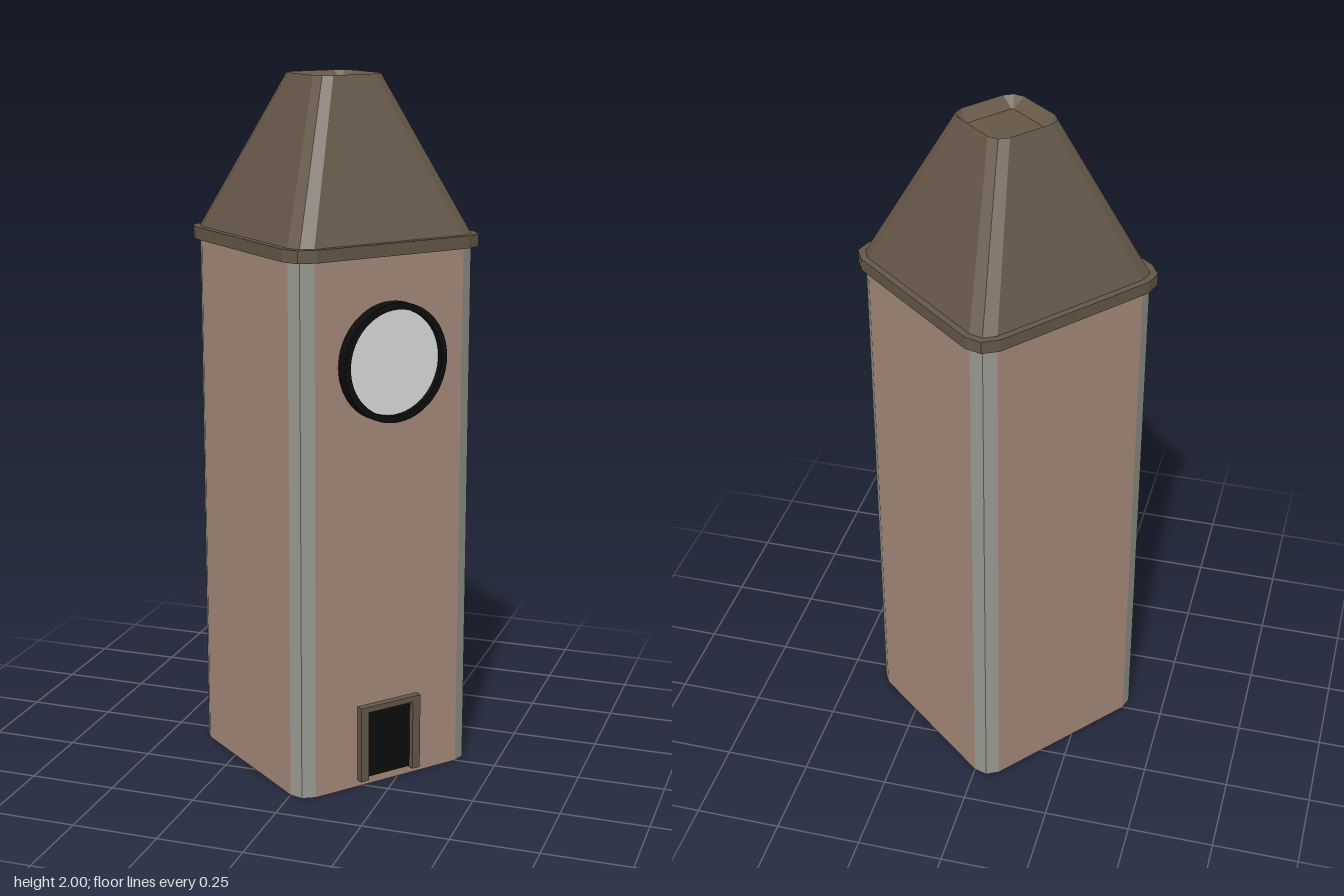
import * as THREE from 'three';

const mat = (name, color) => {
  const m = new THREE.MeshStandardMaterial({ color });
  m.name = name;
  return m;
};

// Square ring with corners rounded in two facets: half width h, corner radius r, height y
function ring(h, r, y) {
  const pts = [];
  for (let k = 0; k < 4; k++) {
    const mid = Math.PI / 4 + k * Math.PI / 2;
    const sx = Math.sign(Math.cos(mid)), sz = Math.sign(Math.sin(mid));
    for (let j = -1; j <= 1; j++) {
      const a = mid + j * Math.PI / 4;
      pts.push([sx * (h - r) + r * Math.cos(a), y, sz * (h - r) + r * Math.sin(a)]);
    }
  }
  return pts;
}

// Flat-faceted skin over stacked rings; group 0 is walls and caps, group 1 the corner facets
function loft(rings) {
  const walls = [], corners = [];
  const n = rings[0].length;
  for (let s = 0; s < rings.length - 1; s++) {
    for (let i = 0; i < n; i++) {
      const j = (i + 1) % n, lo = rings[s], hi = rings[s + 1];
      (i % 3 === 2 ? walls : corners).push(lo[i], hi[i], lo[j], lo[j], hi[i], hi[j]);
    }
  }
  const bottom = rings[0], top = rings[rings.length - 1];
  for (let i = 0; i < n; i++) {
    const j = (i + 1) % n;
    walls.push([0, bottom[0][1], 0], bottom[i], bottom[j]);
    walls.push([0, top[0][1], 0], top[j], top[i]);
  }
  const geo = new THREE.BufferGeometry();
  geo.setAttribute('position', new THREE.Float32BufferAttribute([...walls, ...corners].flat(), 3));
  geo.addGroup(0, walls.length, 0);
  geo.addGroup(walls.length, corners.length, 1);
  geo.computeVertexNormals();
  return geo;
}

export function createModel() {
  const brick = mat('brick', 0xa88b7b);
  const stone = mat('corner stone', 0x989891);
  const roofBrown = mat('roof brown', 0x665848);
  const black = mat('black', 0x0d0d0d);
  const dial = mat('dial white', 0xe0e0e0);

  const tower = new THREE.Group();
  tower.name = 'clockTower';
  const add = (name, geo, material, x = 0, y = 0, z = 0) => {
    const mesh = new THREE.Mesh(geo, material);
    mesh.name = name;
    mesh.position.set(x, y, z);
    tower.add(mesh);
    return mesh;
  };

  // Shaft with stone corners
  const wall = 0.293;
  add('shaft', loft([ring(wall, 0.052, 0), ring(wall, 0.052, 1.53)]), [brick, stone]);

  // Eave slab and hipped roof with a shallow sunken top
  add('eave', loft([ring(0.312, 0.066, 1.53), ring(0.312, 0.066, 1.565)]), [roofBrown, roofBrown]);
  add('roof', loft([
    ring(wall, 0.052, 1.565), ring(0.107, 0.04, 2), ring(0.077, 0.004, 1.97),
  ]), [roofBrown, roofBrown]);

  // Clock: black rim around a recessed dial
  const clockY = 1.237;
  const rim = new THREE.Shape().absarc(0, 0, 0.167, 0, Math.PI * 2);
  rim.holes.push(new THREE.Path().absarc(0, 0, 0.148, 0, Math.PI * 2, true));
  add('clockRim', new THREE.ExtrudeGeometry(rim, { depth: 0.042, bevelEnabled: false, curveSegments: 32 }),
    black, 0, clockY, 0.285);
  add('clockDial', new THREE.CircleGeometry(0.15, 48), dial, 0, clockY, 0.311);

  // Doorway: two posts, a lintel and a dark recessed door
  for (const side of [-1, 1]) {
    add('doorPost', new THREE.BoxGeometry(0.026, 0.225, 0.03), roofBrown, side * 0.088, 0.1325, 0.298);
  }
  add('doorLintel', new THREE.BoxGeometry(0.15, 0.017, 0.03), roofBrown, 0, 0.2365, 0.298);
  add('door', new THREE.BoxGeometry(0.15, 0.205, 0.009), black, 0, 0.126, 0.2925);

  // The tower stands turned about its own axis
  tower.rotation.y = THREE.MathUtils.degToRad(50.6);
  const model = new THREE.Group();
  model.name = 'model';
  model.add(tower);
  return model;
}
